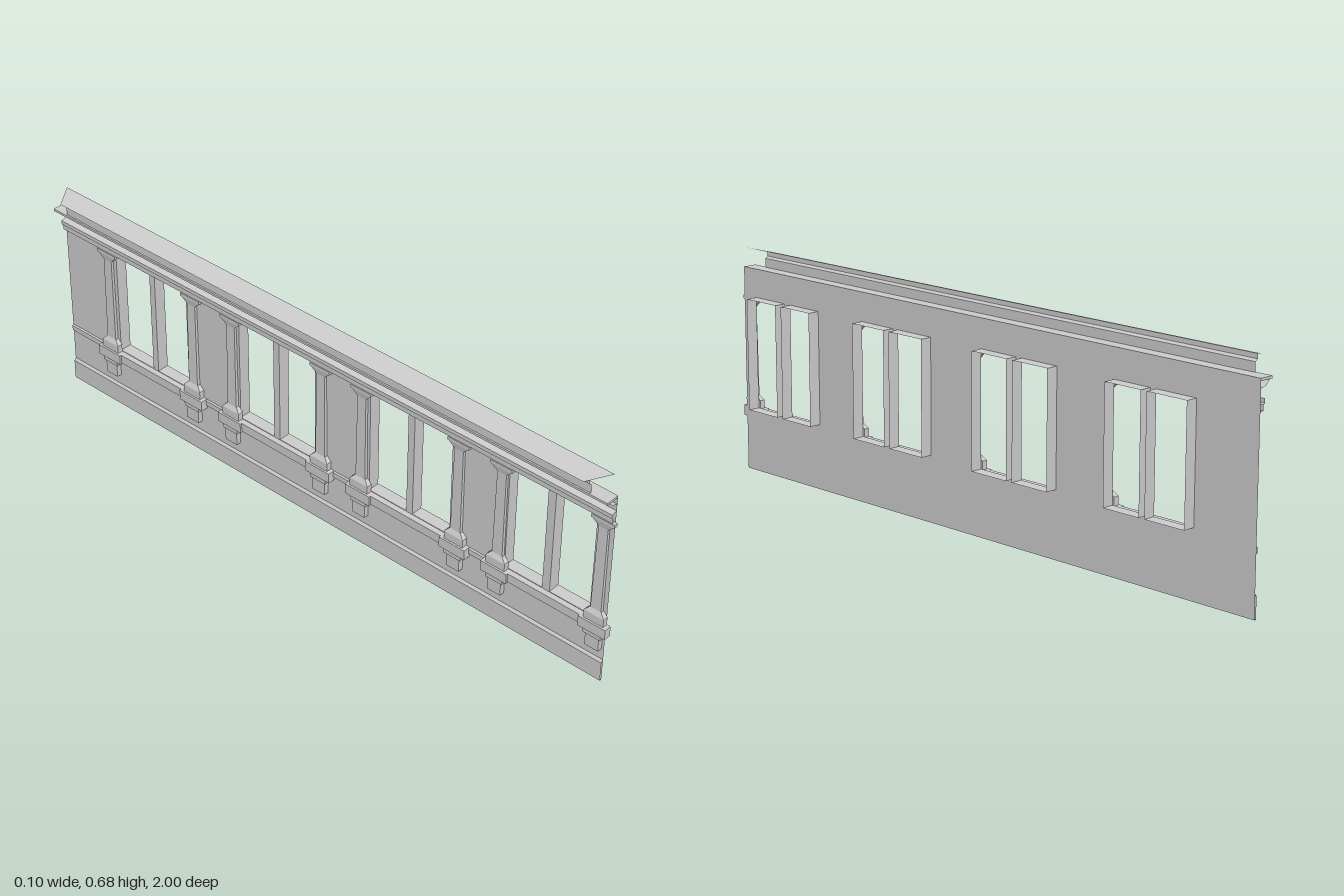
import * as THREE from 'three';

const mat = new THREE.MeshStandardMaterial({ color: 0xcccccc, side: THREE.DoubleSide, flatShading: true });
const WALL = 0.01; // x of the wall plane

// Quads between two rows of 3D points
function ribbon(a, b) {
  const pos = [];
  for (let i = 0; i + 1 < a.length; i++) {
    pos.push(...a[i], ...b[i], ...b[i + 1], ...a[i], ...b[i + 1], ...a[i + 1]);
  }
  const g = new THREE.BufferGeometry();
  g.setAttribute('position', new THREE.Float32BufferAttribute(pos, 3));
  g.computeVertexNormals();
  return g;
}

// Open moulding: an [x, y] profile run along z
const moulding = (profile, z0, z1) =>
  ribbon(profile.map(([x, y]) => [x, y, z0]), profile.map(([x, y]) => [x, y, z1]));

// Block against the wall; bottom and top each have their own projection and half width
function block(y0, y1, x0, half0, x1 = x0, half1 = half0) {
  const g = new THREE.BoxGeometry(1, 1, 1);
  const p = g.attributes.position;
  for (let i = 0; i < p.count; i++) {
    const top = p.getY(i) > 0;
    p.setXYZ(i, p.getX(i) > 0 ? WALL : top ? x1 : x0, top ? y1 : y0,
      Math.sign(p.getZ(i)) * (top ? half1 : half0));
  }
  g.computeVertexNormals();
  return g;
}

function add(parent, name, geometry, z = 0) {
  const m = new THREE.Mesh(geometry, mat);
  m.name = name;
  m.position.z = z;
  parent.add(m);
  return m;
}

// Pilaster with sill block and bracket below
function pilaster(z) {
  const g = new THREE.Group();
  g.name = 'pilaster';
  g.position.z = z;
  add(g, 'bracket', block(0.105, 0.148, -0.006, 0.022));
  add(g, 'bracketTop', block(0.148, 0.163, -0.01, 0.028));
  add(g, 'sillBlock', block(0.163, 0.195, -0.013, 0.044));
  add(g, 'base', block(0.195, 0.22, -0.007, 0.032));
  add(g, 'baseSlope', block(0.22, 0.234, -0.007, 0.032, 0, 0.018));
  add(g, 'shaft', block(0.234, 0.51, 0, 0.017, 0.002, 0.015));
  add(g, 'capital', block(0.505, 0.525, 0.002, 0.015, -0.002, 0.034));
  add(g, 'capitalTop', block(0.525, 0.535, -0.003, 0.036));
  return g;
}

export function createModel() {
  const model = new THREE.Group();
  model.name = 'facade';
  const zMin = -1, zMax = 0.985, yLow = 0.197, yHigh = 0.535;

  // Window pairs: edges of both openings and the two pilaster positions
  const pairs = [
    { panes: [[0.65, 0.775], [0.80, 0.93]], sides: [0.63, 0.955] },
    { panes: [[0.175, 0.308], [0.33, 0.46]], sides: [0.15, 0.487] },
    { panes: [[-0.31, -0.18], [-0.158, -0.025]], sides: [-0.335, 0.002] },
    { panes: [[-0.795, -0.66], [-0.64, -0.515]], sides: [-0.823, -0.488] },
  ];

  // Wall sheet with openings
  const wall = new THREE.Shape([[-zMin, 0], [-zMin, 0.62], [-zMax, 0.62], [-zMax, 0]]
    .map(([x, y]) => new THREE.Vector2(x, y)));
  for (const { panes } of pairs) {
    for (const [a, b] of panes) {
      wall.holes.push(new THREE.Path([[-a, yLow], [-b, yLow], [-b, yHigh], [-a, yHigh]]
        .map(([x, y]) => new THREE.Vector2(x, y))));
    }
  }
  add(model, 'wall', new THREE.ShapeGeometry(wall).rotateY(Math.PI / 2).translate(WALL, 0, 0));

  // Window reveals, sills and pilasters
  for (const { panes, sides } of pairs) {
    for (const [a, b] of panes) {
      const loop = [[yLow, a], [yHigh, a], [yHigh, b], [yLow, b], [yLow, a]];
      add(model, 'windowReveal', ribbon(
        loop.map(([y, z]) => [WALL, y, z]), loop.map(([y, z]) => [0.047, y, z])));
    }
    add(model, 'sill', block(0.167, 0.195, -0.007, (sides[1] - sides[0]) / 2), (sides[0] + sides[1]) / 2);
    sides.forEach((z) => model.add(pilaster(z)));
  }

  // Horizontal bands on the outer side
  add(model, 'plinth', moulding([[WALL, 0], [0.004, 0], [0.004, 0.062], [WALL, 0.07]], zMin, zMax));
  add(model, 'stringCourse', moulding([[WALL, 0.172], [0.006, 0.174], [0.006, 0.19], [WALL, 0.194]], zMin, zMax));
  add(model, 'architrave', moulding(
    [[WALL, 0.535], [-0.002, 0.537], [-0.002, 0.552], [-0.007, 0.556], [-0.007, 0.568], [WALL, 0.572]], zMin, zMax));

  // Cornice: ledge, frieze and sloping cover
  add(model, 'ledge', block(0.614, 0.621, -0.033, (zMax - zMin) / 2), (zMax + zMin) / 2);
  add(model, 'bedMoulding', moulding([[WALL, 0.594], [-0.01, 0.6], [-0.024, 0.614]], zMin, zMax));
  add(model, 'frieze', moulding([[-0.028, 0.621], [-0.028, 0.648], [-0.036, 0.654], [-0.036, 0.668]], -0.95, 0.93));
  add(model, 'cover', ribbon(
    [[WALL, 0.68, -0.985], [-0.05, 0.665, -0.95]],
    [[WALL, 0.68, 0.97], [-0.05, 0.665, 0.92]]));
  return model;
}
